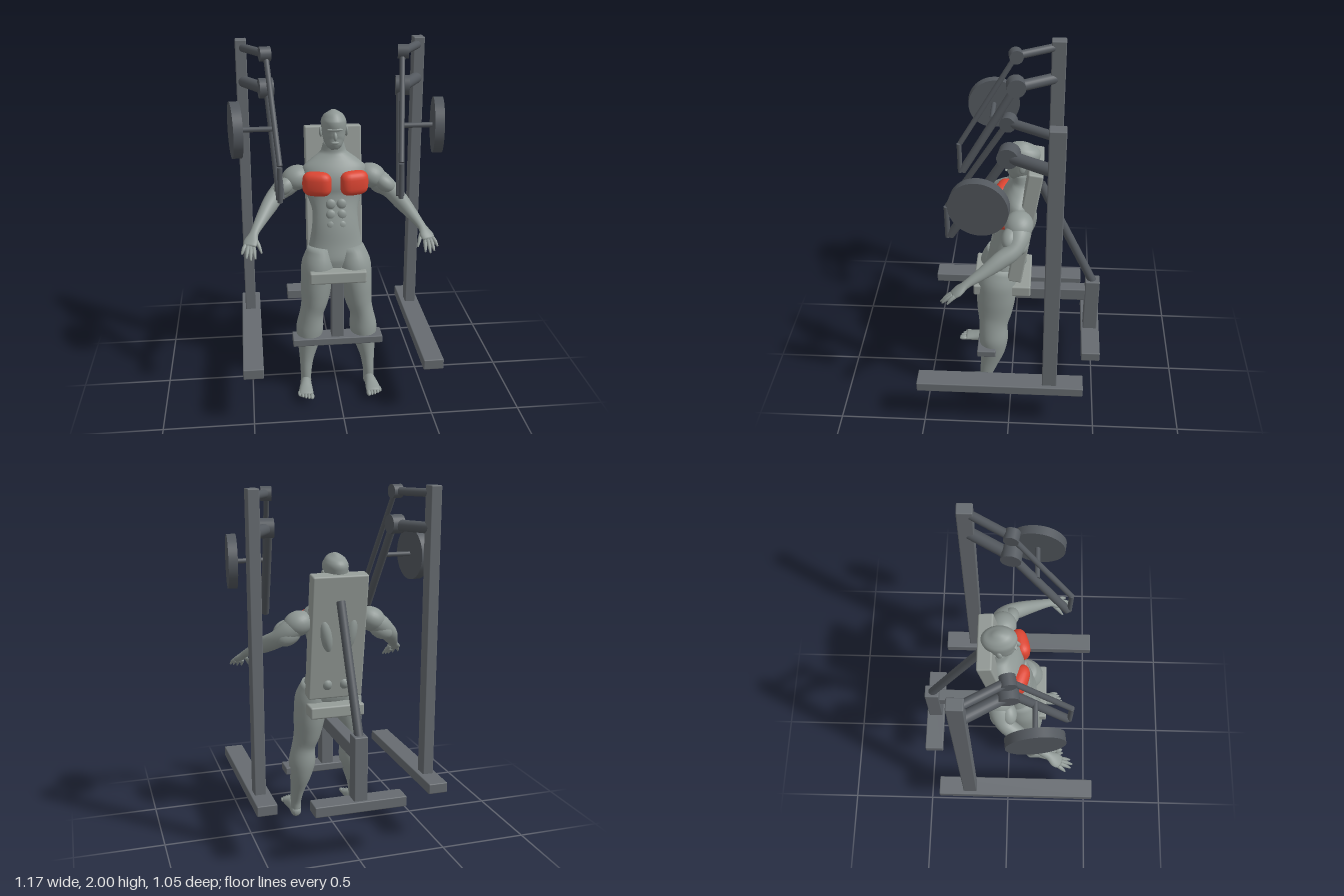
import * as THREE from 'three';
import { RoundedBoxGeometry } from 'three/addons/geometries/RoundedBoxGeometry.js';

const V = (x, y, z) => new THREE.Vector3(x, y, z);

// Smooth closed body through oval rings [x, y, z, halfWidth, halfDepth]
function loft(rings, side = V(1, 0, 0), around = 28, perRing = 4) {
  const centre = new THREE.CatmullRomCurve3(rings.map(r => V(r[0], r[1], r[2])));
  const radii = new THREE.CatmullRomCurve3(rings.map(r => V(r[3], r[4], 0)));
  const steps = (rings.length - 1) * perRing;
  const pos = [], idx = [];
  for (let i = 0; i <= steps; i++) {
    const c = centre.getPoint(i / steps), r = radii.getPoint(i / steps), t = centre.getTangent(i / steps);
    const n = side.clone().addScaledVector(t, -side.dot(t)).normalize();
    const b = t.clone().cross(n);
    for (let j = 0; j < around; j++) {
      const a = j / around * Math.PI * 2;
      const p = c.clone().addScaledVector(n, r.x * Math.cos(a)).addScaledVector(b, r.y * Math.sin(a));
      pos.push(p.x, p.y, p.z);
      if (i < steps) {
        const k = (j + 1) % around, o = i * around, q = o + around;
        idx.push(o + j, o + k, q + j, o + k, q + k, q + j);
      }
    }
  }
  // End caps
  const first = rings[0], last = rings[rings.length - 1], e = pos.length / 3;
  pos.push(first[0], first[1], first[2], last[0], last[1], last[2]);
  for (let j = 0; j < around; j++) {
    const k = (j + 1) % around, o = steps * around;
    idx.push(e, k, j, e + 1, o + j, o + k);
  }
  const g = new THREE.BufferGeometry();
  g.setAttribute('position', new THREE.Float32BufferAttribute(pos, 3));
  g.setIndex(idx);
  g.computeVertexNormals();
  return g;
}

export function createModel() {
  const mat = (name, color) => {
    const m = new THREE.MeshStandardMaterial({ color });
    m.name = name;
    return m;
  };
  const skin = mat('skin grey', 0x8f9895);
  const padMat = mat('pad grey', 0x969d99);
  const frame = mat('frame grey', 0x666b70);
  const steel = mat('dark steel', 0x53585e);
  const red = mat('muscle red', 0xdc4532);

  const model = new THREE.Group();
  const machine = new THREE.Group(), figure = new THREE.Group();
  machine.name = 'machine';
  figure.name = 'figure';
  model.add(machine, figure);

  const add = (parent, name, geo, m) => {
    const mesh = new THREE.Mesh(geo, m);
    mesh.name = name;
    parent.add(mesh);
    return mesh;
  };
  // Box given by its low and high corners
  const box = (name, lo, hi, m = frame, r = 0.006) => {
    const g = new RoundedBoxGeometry(hi[0] - lo[0], hi[1] - lo[1], hi[2] - lo[2], 2, r);
    return add(machine, name, g.translate((lo[0] + hi[0]) / 2, (lo[1] + hi[1]) / 2, (lo[2] + hi[2]) / 2), m);
  };
  // Cylinder between two points
  const rod = (name, a, b, r, m = steel, seg = 24) => {
    const d = b.clone().sub(a);
    const mesh = add(machine, name, new THREE.CylinderGeometry(r, r, d.length(), seg), m);
    mesh.position.copy(a).add(b).multiplyScalar(0.5);
    mesh.quaternion.setFromUnitVectors(V(0, 1, 0), d.normalize());
    return mesh;
  };
  const ball = (name, p, s, rot = [0, 0, 0], m = skin) => {
    const mesh = add(figure, name, new THREE.SphereGeometry(1, 24, 16).scale(...s), m);
    mesh.position.set(...p);
    mesh.rotation.set(...rot);
    return mesh;
  };

  // Central frame
  box('frontFoot', [-0.26, 0.30, 0.09], [0.26, 0.345, 0.20]);
  box('rearFoot', [-0.26, 0.30, -0.53], [0.26, 0.36, -0.42]);
  box('seatPost', [-0.036, 0.34, 0.10], [0.036, 0.71, 0.18]);
  box('rearPost', [-0.038, 0.35, -0.515], [0.038, 0.72, -0.43]);
  box('spineBeam', [-0.035, 0.58, -0.51], [0.035, 0.66, 0.14]);
  rod('backBrace', V(0, 0.70, -0.475), V(0, 1.38, -0.155), 0.025);

  // Seat and tilted back pad
  box('seat', [-0.16, 0.70, -0.11], [0.16, 0.77, 0.22], padMat, 0.01);
  const pad = add(machine, 'backPad', new RoundedBoxGeometry(0.32, 0.73, 0.082, 3, 0.01), padMat);
  pad.position.set(0, 1.168, -0.073);
  pad.rotation.x = -0.158;

  // Side frames, press arms and weights
  for (const s of [1, -1]) {
    const P = (x, y, z) => V(s * x, y, z);
    const x0 = s > 0 ? 0.4375 : -0.55, x1 = s > 0 ? 0.465 : -0.528;
    box('sideRail', [x0, 0.30, -0.425], [x0 + 0.1125, 0.36, 0.523]);
    box('upright', [x1, 0.35, -0.275], [x1 + 0.063, 2.0, -0.192]);
    rod('upperBracket', P(0.495, 1.957, -0.22), P(0.37, 1.957, 0), 0.023);
    rod('lowerBracket', P(0.495, 1.77, -0.22), P(0.37, 1.77, 0), 0.032);
    rod('upperPivot', P(0.342, 1.957, -0.005), P(0.4, 1.957, 0.005), 0.039);
    rod('lowerPivot', P(0.333, 1.775, -0.005), P(0.408, 1.775, 0.005), 0.054);
    rod('linkRod', P(0.366, 1.957, 0), P(0.318, 1.435, 0.318), 0.015);
    rod('pressArm', P(0.36, 1.775, 0), P(0.317, 1.25, 0.312), 0.023);
    rod('handle', P(0.32, 1.24, 0.325), P(0.318, 1.43, 0.325), 0.014);
    rod('weightPeg', P(0.34, 1.585, 0.135), P(0.53, 1.585, 0.135), 0.014);
    rod('weightPlate', P(0.516, 1.585, 0.133), P(0.566, 1.585, 0.139), 0.15, steel, 48);
  }

  // Torso and neck
  add(figure, 'torso', loft([
    [0, 0.74, 0.08, 0.14, 0.075], [0, 0.80, 0.065, 0.165, 0.095], [0, 0.88, 0.05, 0.152, 0.092],
    [0, 0.98, 0.045, 0.134, 0.08], [0, 1.07, 0.03, 0.128, 0.07], [0, 1.17, -0.01, 0.16, 0.088],
    [0, 1.25, -0.02, 0.182, 0.095], [0, 1.31, -0.04, 0.18, 0.085], [0, 1.36, -0.055, 0.125, 0.07],
    [0, 1.40, -0.06, 0.072, 0.06], [0, 1.46, -0.055, 0.055, 0.055]], V(1, 0, 0), 36), skin);

  // Head, nose and brow
  add(figure, 'head', loft([
    [0, 1.422, 0.002, 0.018, 0.018], [0, 1.438, -0.008, 0.04, 0.044], [0, 1.47, -0.03, 0.058, 0.068],
    [0, 1.52, -0.05, 0.068, 0.088], [0, 1.57, -0.056, 0.071, 0.095], [0, 1.61, -0.06, 0.052, 0.07],
    [0, 1.634, -0.065, 0.012, 0.018]]), skin);
  ball('nose', [0, 1.505, 0.04], [0.011, 0.024, 0.015], [-0.25, 0, 0]);
  ball('lips', [0, 1.468, 0.034], [0.022, 0.008, 0.008]);
  ball('brow', [0, 1.541, 0.027], [0.045, 0.009, 0.012]);

  for (const s of [1, -1]) {
    const ring = (x, ...r) => [s * x, ...r];
    ball('ear', [s * 0.071, 1.513, -0.055], [0.01, 0.03, 0.018], [0, s * 0.3, 0]);

    // Red chest muscle, a squared-off oval
    const pec = ball('chestMuscle', [s * 0.104, 1.242, 0.055], [1, 1, 1], [0, s * 0.3, 0], red);
    const p = pec.geometry.attributes.position;
    const square = v => Math.sign(v) * Math.abs(v) ** 0.6;
    for (let i = 0; i < p.count; i++)
      p.setXYZ(i, square(p.getX(i)) * 0.083, square(p.getY(i)) * 0.07, p.getZ(i) * 0.048);
    pec.geometry.computeVertexNormals();

    // Back, seat and stomach muscles
    ball('latMuscle', [s * 0.072, 1.19, -0.075], [0.045, 0.13, 0.062], [-0.12, 0, s * -0.2]);
    ball('glute', [s * 0.05, 0.89, -0.03], [0.04, 0.045, 0.055]);
    for (let i = 0; i < 3; i++)
      ball('stomachMuscle', [s * 0.03, 1.13 - i * 0.06, 0.083 + i * 0.01], [0.028, 0.03, 0.016]);

    // Shoulder and upper arm
    ball('shoulder', [s * 0.215, 1.25, -0.045], [0.085, 0.07, 0.078], [0, 0, s * -0.4]);
    ball('biceps', [s * 0.285, 1.215, 0.0], [0.065, 0.045, 0.045], [0, s * -0.2, s * -0.6]);
    ball('triceps', [s * 0.27, 1.185, -0.06], [0.075, 0.05, 0.045], [0, 0, s * -0.5]);
    add(figure, 'arm', loft([
      ring(0.18, 1.27, -0.05, 0.055, 0.06), ring(0.26, 1.215, -0.045, 0.062, 0.065),
      ring(0.325, 1.165, -0.02, 0.05, 0.05), ring(0.37, 1.125, 0.05, 0.048, 0.045),
      ring(0.42, 1.075, 0.14, 0.033, 0.034), ring(0.462, 1.03, 0.225, 0.02, 0.025),
      ring(0.48, 1.0, 0.265, 0.018, 0.04), ring(0.489, 0.982, 0.292, 0.012, 0.035)], V(0, 1, 0)), skin);

    // Fingers, thumb first
    [[0.455, 1.005, 0.25, 0.425, 0.945, 0.305], [0.468, 0.98, 0.285, 0.46, 0.932, 0.348],
      [0.482, 0.98, 0.292, 0.485, 0.93, 0.36], [0.496, 0.982, 0.29, 0.508, 0.938, 0.35],
      [0.51, 0.986, 0.28, 0.532, 0.95, 0.32]].forEach(([x, y, z, tx, ty, tz]) => {
      add(figure, 'finger', loft([
        ring(x, y, z, 0.012, 0.012), ring((x + tx) / 2, (y + ty) / 2 + 0.005, (z + tz) / 2, 0.011, 0.011),
        ring(tx, ty, tz, 0.005, 0.005)], V(0, 1, 0), 10), skin);
    });

    // Leg
    add(figure, 'leg', loft([
      ring(0.09, 0.87, 0.065, 0.07, 0.085), ring(0.103, 0.76, 0.085, 0.098, 0.112),
      ring(0.116, 0.65, 0.092, 0.09, 0.112), ring(0.128, 0.55, 0.1, 0.077, 0.1),
      ring(0.147, 0.47, 0.107, 0.068, 0.084), ring(0.157, 0.38, 0.106, 0.079, 0.086),
      ring(0.167, 0.29, 0.113, 0.064, 0.076), ring(0.18, 0.19, 0.133, 0.041, 0.054),
      ring(0.186, 0.1, 0.153, 0.031, 0.038), ring(0.186, 0.045, 0.155, 0.03, 0.032)]), skin);

    // Foot and toes
    add(figure, 'foot', loft([
      ring(0.186, 0.035, 0.118, 0.015, 0.015), ring(0.187, 0.036, 0.14, 0.031, 0.035),
      ring(0.19, 0.052, 0.2, 0.032, 0.04), ring(0.195, 0.05, 0.26, 0.04, 0.028),
      ring(0.197, 0.047, 0.315, 0.043, 0.016)]), skin);
    for (let i = 0; i < 5; i++)
      ball('toe', [s * (0.165 + i * 0.0175), 0.049, 0.332 - i * i * 0.0022],
        [i ? 0.009 : 0.013, i ? 0.01 : 0.013, 0.026]);
  }
  return model;
}
